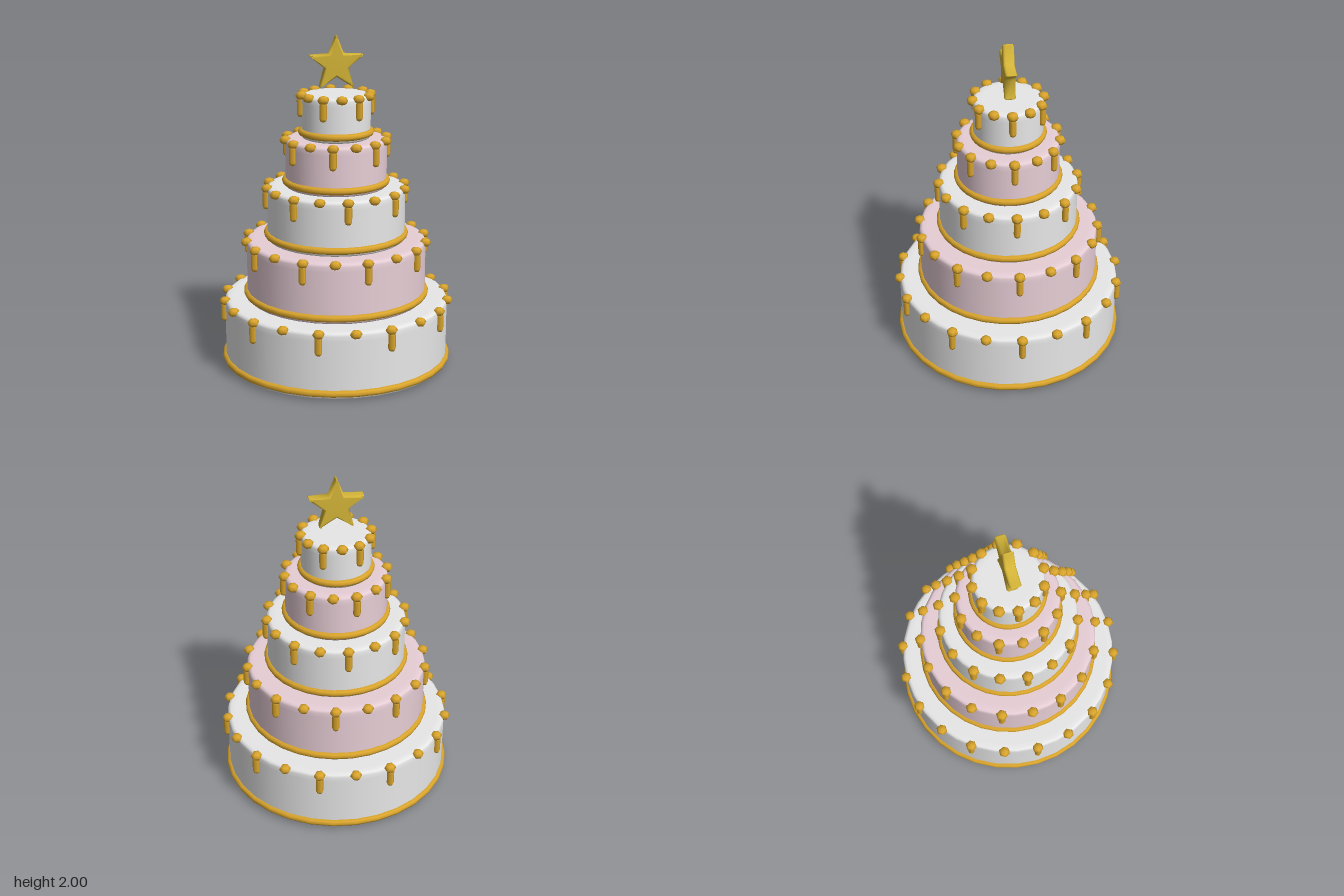
import * as THREE from 'three';
import { mergeVertices } from 'three/addons/utils/BufferGeometryUtils.js';

const mat = (name, color) => {
  const m = new THREE.MeshStandardMaterial({ color });
  m.name = name;
  return m;
};

// Tier body: cylinder with softly rounded rims
function tierGeometry(r, y0, y1) {
  const b = 0.02;
  const pts = [[0, y0], [r - 0.05, y0], [r - b, y0]];
  for (const a of [-45, 0]) pts.push([r - b + b * Math.cos(a * Math.PI / 180), y0 + b + b * Math.sin(a * Math.PI / 180)]);
  pts.push([r, y0 + 0.05], [r, y1 - 0.05]);
  for (const a of [0, 45, 90]) pts.push([r - b + b * Math.cos(a * Math.PI / 180), y1 - b + b * Math.sin(a * Math.PI / 180)]);
  pts.push([r - 0.05, y1], [0, y1]);
  return new THREE.LatheGeometry(pts.map(([x, y]) => new THREE.Vector2(x, y)), 32);
}

// Puffy five-pointed star with blunt tips
function starGeometry(outer, inner) {
  const at = (i, r) => {
    const a = Math.PI / 2 + i * Math.PI / 5;
    return new THREE.Vector2(Math.cos(a) * r, Math.sin(a) * r);
  };
  const shape = new THREE.Shape();
  for (let i = 0; i < 10; i += 2) {
    const tip = at(i, outer * 1.06);
    const before = tip.clone().lerp(at(i - 1, inner), 0.14);
    const after = tip.clone().lerp(at(i + 1, inner), 0.14);
    const valley = at(i + 1, inner);
    if (i === 0) shape.moveTo(before.x, before.y);
    else shape.lineTo(before.x, before.y);
    shape.quadraticCurveTo(tip.x, tip.y, after.x, after.y);
    shape.lineTo(valley.x, valley.y);
  }
  shape.closePath();
  const g = new THREE.ExtrudeGeometry(shape, {
    depth: 0.036, bevelThickness: 0.015, bevelSize: 0.012, bevelOffset: -0.012,
    bevelSegments: 3, curveSegments: 4,
  });
  g.translate(0, 0, -0.018);
  g.deleteAttribute('uv');
  g.deleteAttribute('normal');
  const smooth = mergeVertices(g, 1e-4);
  smooth.computeVertexNormals();
  return smooth;
}

export function createModel() {
  const white = mat('white icing', 0xf2f2f2);
  const pink = mat('pink icing', 0xf0d6de);
  const gold = mat('gold trim', 0xdaa52c);
  const starGold = mat('star gold', 0xd4b437);

  const model = new THREE.Group();
  model.name = 'tieredCake';
  const add = (parent, name, geometry, material, x = 0, y = 0, z = 0) => {
    const mesh = new THREE.Mesh(geometry, material);
    mesh.name = name;
    mesh.position.set(x, y, z);
    parent.add(mesh);
    return mesh;
  };

  const beadGeo = new THREE.SphereGeometry(0.036, 6, 4).scale(1, 0.75, 1);
  const dripGeo = new THREE.CapsuleGeometry(0.022, 0.08, 2, 6);

  // radius, bottom, top of each tier
  const tiers = [
    [0.682, 0.005, 0.412],
    [0.545, 0.41, 0.778],
    [0.417, 0.775, 1.105],
    [0.304, 1.10, 1.397],
    [0.206, 1.395, 1.66],
  ];
  tiers.forEach(([r, y0, y1], i) => {
    const tier = new THREE.Group();
    tier.name = `tier${i + 1}`;
    model.add(tier);
    add(tier, 'tierBody', tierGeometry(r, y0, y1), i % 2 ? pink : white);

    // Rope ring around the foot of the tier
    const ring = new THREE.TorusGeometry(r, 0.021, 8, 32).rotateX(Math.PI / 2);
    add(tier, 'baseRing', ring, gold, 0, y0 + 0.039, 0);

    // Beads along the top rim, with a drip under every second one
    const beads = 20 - 2 * i;
    for (let k = 0; k < beads; k++) {
      const a = (k / beads) * Math.PI * 2;
      const c = Math.cos(a), s = Math.sin(a);
      add(tier, 'rimBead', beadGeo, gold, c * r, y1 - 0.007, s * r);
      if (k % 2 === 0) add(tier, 'drip', dripGeo, gold, c * (r + 0.006), y1 - 0.074, s * (r + 0.006));
    }
  });

  // Star floating above the top tier
  add(model, 'starTopper', starGeometry(0.165, 0.075), starGold, 0, 1.836, 0);
  return model;
}
